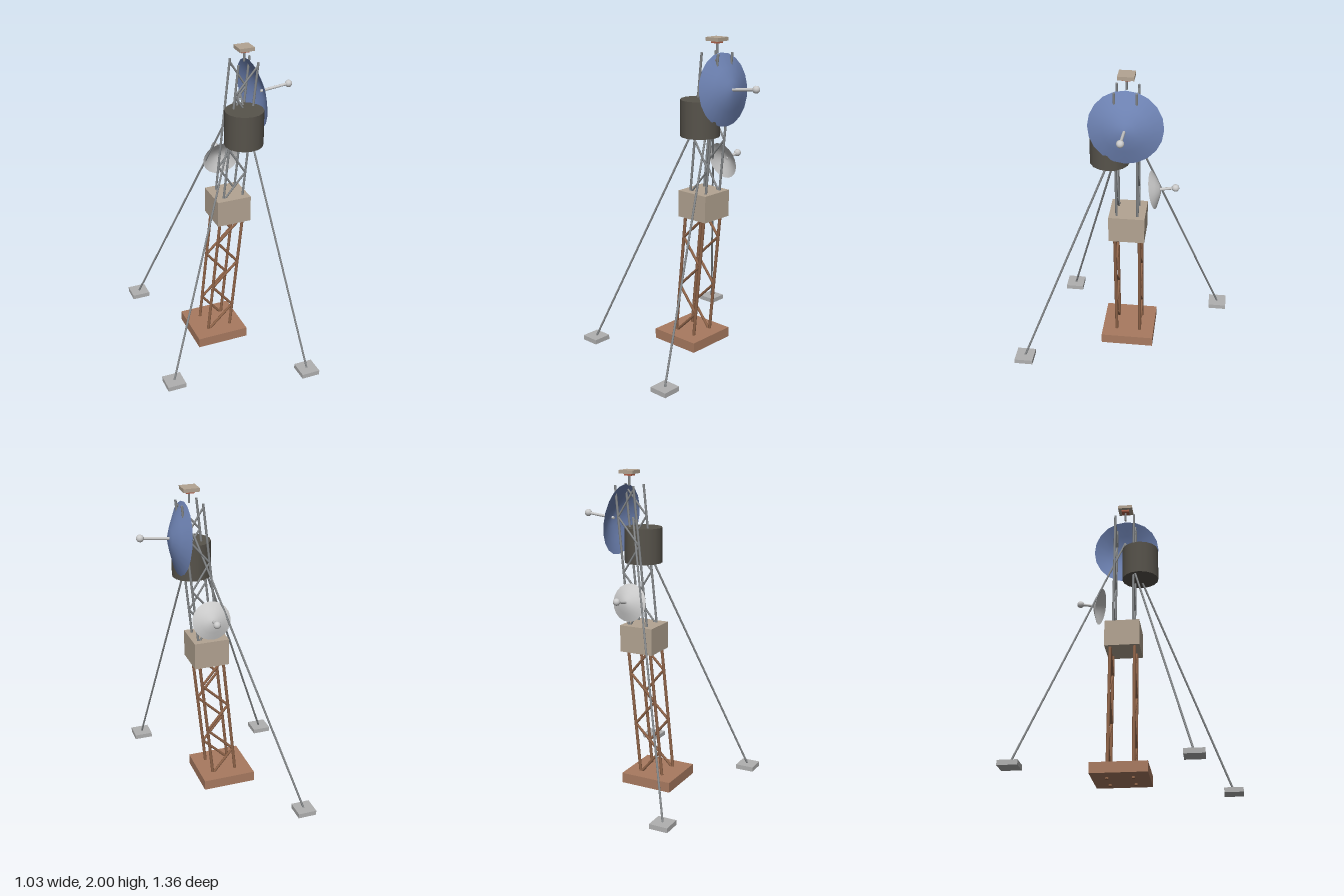
import * as THREE from 'three';

const V = (x, y, z) => new THREE.Vector3(x, y, z);
const UP = V(0, 1, 0);
const mat = (color, extra = {}) => new THREE.MeshStandardMaterial({ color, ...extra });

const MID_Z = -0.033;
const axisX = (y) => -0.008 + 0.1035 * y; // leaning centre line of the tower

export function createModel() {
  const model = new THREE.Group();
  const rust = mat(0x8f6449), clay = mat(0xa87a60), sand = mat(0xb3a492);
  const steel = mat(0x85888a), concrete = mat(0xb0b0b0), dark = mat(0x57534b);
  const pale = mat(0xcccccc);

  const add = (parent, name, geometry, material, pos) => {
    const mesh = new THREE.Mesh(geometry, material);
    mesh.name = name;
    if (pos) mesh.position.copy(pos);
    parent.add(mesh);
    return mesh;
  };
  const box = (name, w, h, d, pos, material) =>
    add(model, name, new THREE.BoxGeometry(w, h, d), material, pos);
  const rod = (parent, name, a, b, r, material) => {
    const dir = b.clone().sub(a);
    const mesh = add(parent, name, new THREE.CylinderGeometry(r, r, dir.length(), 8), material,
      a.clone().add(b).multiplyScalar(0.5));
    mesh.quaternion.setFromUnitVectors(UP, dir.normalize());
  };

  // Leaning lattice section: four legs, zigzag braces on the front and back faces
  const lattice = (name, y0, y1, half, r, braceY0, braceY1, panels, material) => {
    const group = new THREE.Group();
    group.name = name;
    model.add(group);
    const at = (sx, sz, y) => V(axisX(y) + sx * half, y, MID_Z + sz * half);
    for (const sz of [-1, 1]) {
      for (const sx of [-1, 1]) rod(group, 'leg', at(sx, sz, y0), at(sx, sz, y1), r, material);
      const step = (braceY1 - braceY0) / panels;
      for (let i = 0; i < panels; i++) {
        const s = (i % 2 ? -1 : 1) * sz;
        rod(group, 'brace', at(-s, sz, braceY0 + i * step), at(s, sz, braceY0 + (i + 1) * step),
          r * 0.85, material);
      }
    }
  };
  lattice('lowerTower', 0.005, 0.93, 0.077, 0.01, 0.07, 0.9, 5, rust);
  lattice('upperTower', 1.0, 1.91, 0.064, 0.0075, 1.03, 1.89, 5, steel);

  // Base, equipment box and drum
  box('base', 0.34, 0.065, 0.34, V(-0.008, 0.05, MID_Z), clay);
  box('equipmentBox', 0.222, 0.17, 0.222, V(0.09, 0.962, MID_Z), sand);
  add(model, 'drum', new THREE.CylinderGeometry(0.12, 0.12, 0.222, 16), dark, V(0.15, 1.529, 0.07));

  // Guy rods from one point on the tower down to three blocks
  const guyTop = V(0.166, 1.71, MID_Z);
  for (const [x, z] of [[-0.352, -0.621], [-0.455, 0.412], [0.371, 0.617]]) {
    box('anchorBlock', 0.118, 0.03, 0.118, V(x, 0.028, z), concrete);
    rod(model, 'guyRod', V(x, 0.035, z), guyTop, 0.0065, steel);
  }

  // Shallow dish bulging along its own +y, with a feed arm and ball
  const dish = (name, radius, depth, reach, pos, dir, material) => {
    const group = new THREE.Group();
    group.name = name;
    group.position.copy(pos);
    group.quaternion.setFromUnitVectors(UP, dir.normalize());
    model.add(group);
    const profile = [[1, 0], [0.6, 0.52], [0.25, 0.93], [0, 1]]
      .map(([r, h]) => new THREE.Vector2(r * radius, h * depth));
    add(group, 'reflector', new THREE.LatheGeometry(profile, 20), material);
    rod(group, 'feedArm', V(0, depth * 0.8, 0), V(0, reach, 0), 0.009, pale);
    add(group, 'feedBall', new THREE.SphereGeometry(0.023, 12, 8), pale, V(0, reach, 0));
  };
  dish('largeDish', 0.22, 0.072, 0.247, V(0.244, 1.693, MID_Z), V(1, 0.115, 0),
    mat(0x6f84b5, { side: THREE.DoubleSide }));
  dish('smallDish', 0.118, 0.045, 0.138, V(0.108, 1.211, -0.187), V(0.08, 0.22, -1),
    mat(0xcccccc, { side: THREE.DoubleSide }));

  // Mast head
  rod(model, 'mast', V(0.19, 1.905, MID_Z), V(0.19, 1.972, MID_Z), 0.007, steel);
  box('mastCollar', 0.05, 0.014, 0.05, V(0.188, 1.972, MID_Z), mat(0xb0624a));
  box('mastCap', 0.096, 0.022, 0.096, V(0.188, 1.989, MID_Z), sand);

  return model;
}
